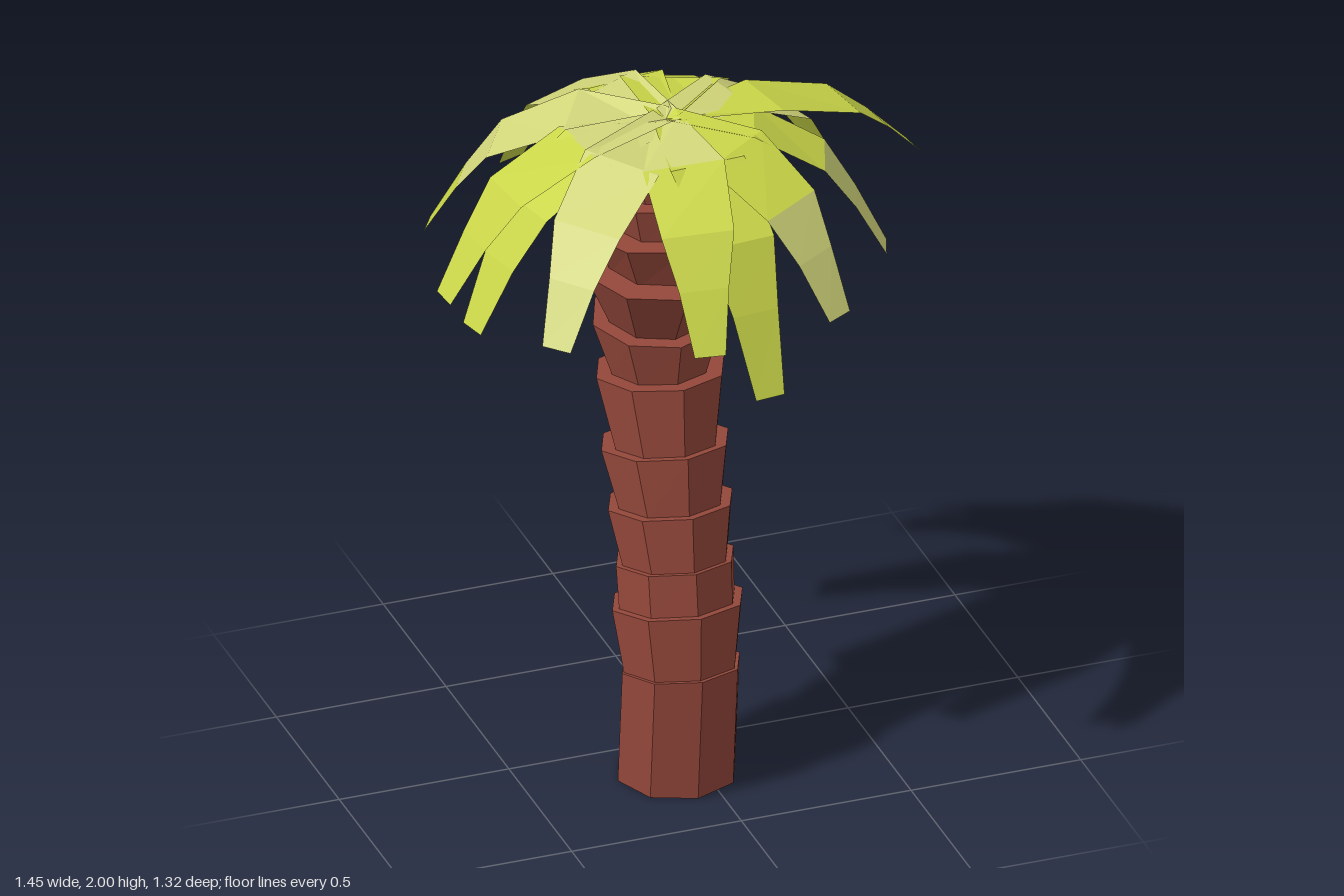
import * as THREE from 'three';

const bark = new THREE.MeshStandardMaterial({ color: 0x95483b, flatShading: true });
bark.name = 'reddish bark';
const bright = new THREE.MeshStandardMaterial({ color: 0xc9d548, flatShading: true, side: THREE.DoubleSide });
bright.name = 'bright leaf green';
const pale = new THREE.MeshStandardMaterial({ color: 0xd2d67a, flatShading: true, side: THREE.DoubleSide });
pale.name = 'pale leaf green';

const TRUNK_X = -0.068;

// Trunk rings: [radius, z of front edge, y of front edge, z of back edge, y of back edge]
const SEGMENTS = [
  [[0.173, 0.34, 0, -0.005, 0], [0.173, 0.375, 0.385, 0.03, 0.33]],
  [[0.165, 0.36, 0.375, 0.035, 0.325], [0.192, 0.365, 0.58, -0.015, 0.51]],
  [[0.17, 0.34, 0.57, 0.0, 0.51], [0.173, 0.325, 0.70, -0.018, 0.64]],
  [[0.153, 0.31, 0.69, 0.005, 0.63], [0.183, 0.297, 0.86, -0.062, 0.80]],
  [[0.15, 0.27, 0.85, -0.025, 0.79], [0.187, 0.26, 1.03, -0.112, 0.965]],
  [[0.148, 0.235, 1.02, -0.06, 0.965], [0.188, 0.225, 1.23, -0.15, 1.185]],
  [[0.138, 0.175, 1.215, -0.115, 1.19], [0.19, 0.205, 1.355, -0.175, 1.375]],
  [[0.137, 0.155, 1.35, -0.125, 1.36], [0.22, 0.255, 1.53, -0.19, 1.545]],
  [[0.137, 0.165, 1.52, -0.125, 1.53], [0.207, 0.225, 1.665, -0.155, 1.66]],
  [[0.12, 0.155, 1.65, -0.085, 1.65], [0.155, 0.18, 1.77, -0.11, 1.75]],
  [[0.09, 0.12, 1.75, -0.06, 1.74], [0.11, 0.14, 1.84, -0.08, 1.83]],
  [[0.065, 0.095, 1.83, -0.035, 1.83], [0.075, 0.105, 1.93, -0.045, 1.93]],
];

// An eight-sided collar whose two end rings are placed and tilted separately
function trunkSegment(bottom, top) {
  const geo = new THREE.CylinderGeometry(1, 1, 1, 8, 1);
  const p = geo.attributes.position;
  for (let i = 0; i < p.count; i++) {
    const [r, zf, yf, zb, yb] = p.getY(i) > 0 ? top : bottom;
    const t = (p.getZ(i) + 1) / 2;
    p.setXYZ(i, TRUNK_X + p.getX(i) * r, yb + (yf - yb) * t, zb + (zf - zb) * t);
  }
  geo.computeVertexNormals();
  return new THREE.Mesh(geo, bark);
}

// Fronds: tip x, tip z, tip height, lean of the blade, colour of each of the four panels
const FRONDS = [
  [0.72, -0.08, 1.70, 0.01, 'bbbb'],
  [0.535, -0.205, 1.57, -0.015, 'ppbb'],
  [0.27, -0.535, 1.57, 0.015, 'bbbb'],
  [0.145, -0.595, 1.57, -0.01, 'bbbb'],
  [-0.095, -0.66, 1.51, 0.005, 'bbbb'],
  [-0.27, -0.605, 1.57, 0.015, 'ppbb'],
  [-0.615, -0.34, 1.57, 0.015, 'pppb'],
  [-0.72, 0.075, 1.57, -0.01, 'pbbb'],
  [-0.67, 0.165, 1.51, 0.005, 'pbbb'],
  [-0.53, 0.46, 1.57, 0.015, 'pppp'],
  [-0.145, 0.645, 1.57, -0.01, 'pbbb'],
  [0.03, 0.65, 1.41, 0.005, 'bbbb'],
  [0.27, 0.555, 1.57, -0.015, 'bbpp'],
  [0.53, 0.225, 1.57, 0.015, 'bbpp'],
];

// Blade stations: fraction of length, drop as a share of the whole, width
const STATIONS = [
  [0, 0.02, 0.08], [0.4, 0.04, 0.23], [0.72, 0.3, 0.205], [0.86, 0.61, 0.14], [1, 1, 0.088],
];
const ROOT = new THREE.Vector3(-0.045, 1.985, 0.02);

// A flat arching strip, bent at each station
function frond([tx, tz, ty, lean, colours]) {
  const dx = tx - ROOT.x, dz = tz - ROOT.z, len = Math.hypot(dx, dz);
  const rim = STATIONS.map(([f, drop, w]) => [-1, 1].map((s) => {
    const y = ROOT.y - drop * (ROOT.y - ty) + s * lean * (1 - f) * 1.3;
    return [
      ROOT.x + dx * f - s * (dz / len) * w / 2,
      Math.min(y, 2),
      ROOT.z + dz * f + s * (dx / len) * w / 2,
    ];
  }));
  const verts = [];
  const geo = new THREE.BufferGeometry();
  for (let i = 0; i < 4; i++) {
    const [a, b] = rim[i], [c, d] = rim[i + 1];
    verts.push(...a, ...b, ...d, ...a, ...d, ...c);
    geo.addGroup(i * 6, 6, colours[i] === 'b' ? 0 : 1);
  }
  geo.setAttribute('position', new THREE.Float32BufferAttribute(verts, 3));
  geo.computeVertexNormals();
  return new THREE.Mesh(geo, [bright, pale]);
}

export function createModel() {
  const model = new THREE.Group();
  model.name = 'palmTree';

  const trunk = new THREE.Group();
  trunk.name = 'trunk';
  SEGMENTS.forEach(([bottom, top], i) => {
    const mesh = trunkSegment(bottom, top);
    mesh.name = `trunkSegment${i + 1}`;
    trunk.add(mesh);
  });

  const crown = new THREE.Group();
  crown.name = 'crown';
  FRONDS.forEach((spec, i) => {
    const mesh = frond(spec);
    mesh.name = `frond${i + 1}`;
    crown.add(mesh);
  });

  model.add(trunk, crown);
  return model;
}
